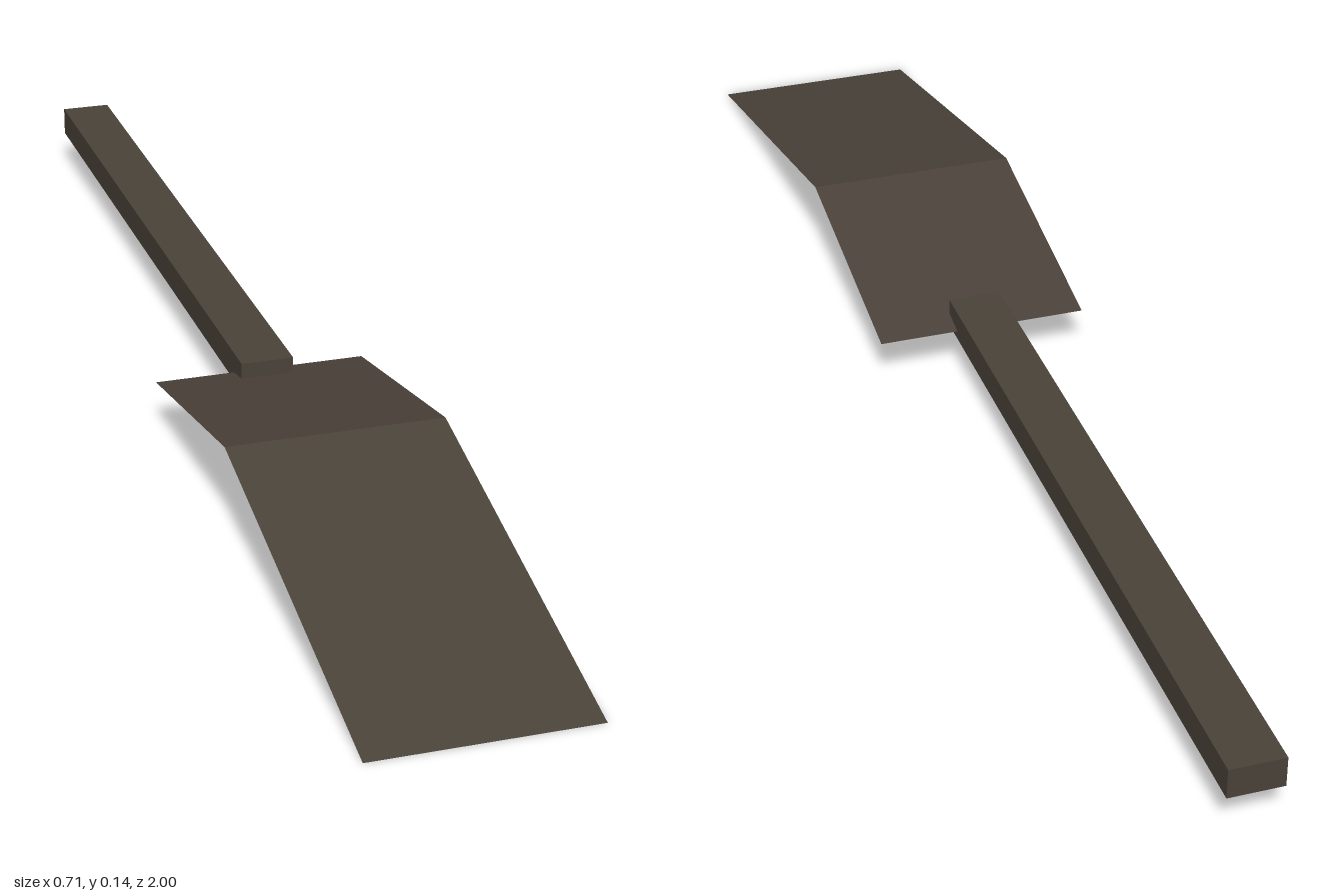
import * as THREE from 'three';

export function createModel() {
  const model = new THREE.Group();
  model.name = 'handTool';

  const darkMetal = new THREE.MeshStandardMaterial({ color: 0x4a4239, side: THREE.DoubleSide });
  darkMetal.name = 'darkBrown';

  // Everything lies along one axis, turned 15 degrees about the vertical
  const tool = new THREE.Group();
  tool.name = 'tool';
  tool.rotation.y = THREE.MathUtils.degToRad(15);
  tool.position.x = -0.051 * Math.cos(tool.rotation.y);
  tool.position.z = 0.051 * Math.sin(tool.rotation.y);
  model.add(tool);

  // Handle: a straight square bar
  const handleBack = -1.038, handleFront = 0.071;
  const handle = new THREE.Mesh(
    new THREE.BoxGeometry(0.077, 0.044, handleFront - handleBack), darkMetal);
  handle.name = 'handle';
  handle.position.set(0, 0.079, (handleBack + handleFront) / 2);
  tool.add(handle);

  // Blade: a thin sheet bent once across its width, as [z, y] profile points
  const profile = [[0.031, 0.07], [0.392, 0.137], [0.98, 0.001]];
  const bladeGeometry = new THREE.PlaneGeometry(0.31, 1, 1, profile.length - 1);
  bladeGeometry.rotateX(-Math.PI / 2);
  const pos = bladeGeometry.attributes.position;
  for (let i = 0; i < pos.count; i++) {
    const [z, y] = profile[Math.floor(i / 2)];
    pos.setY(i, y);
    pos.setZ(i, z);
  }
  const creased = bladeGeometry.toNonIndexed();
  creased.computeVertexNormals();
  const blade = new THREE.Mesh(creased, darkMetal);
  blade.name = 'blade';
  tool.add(blade);

  return model;
}
